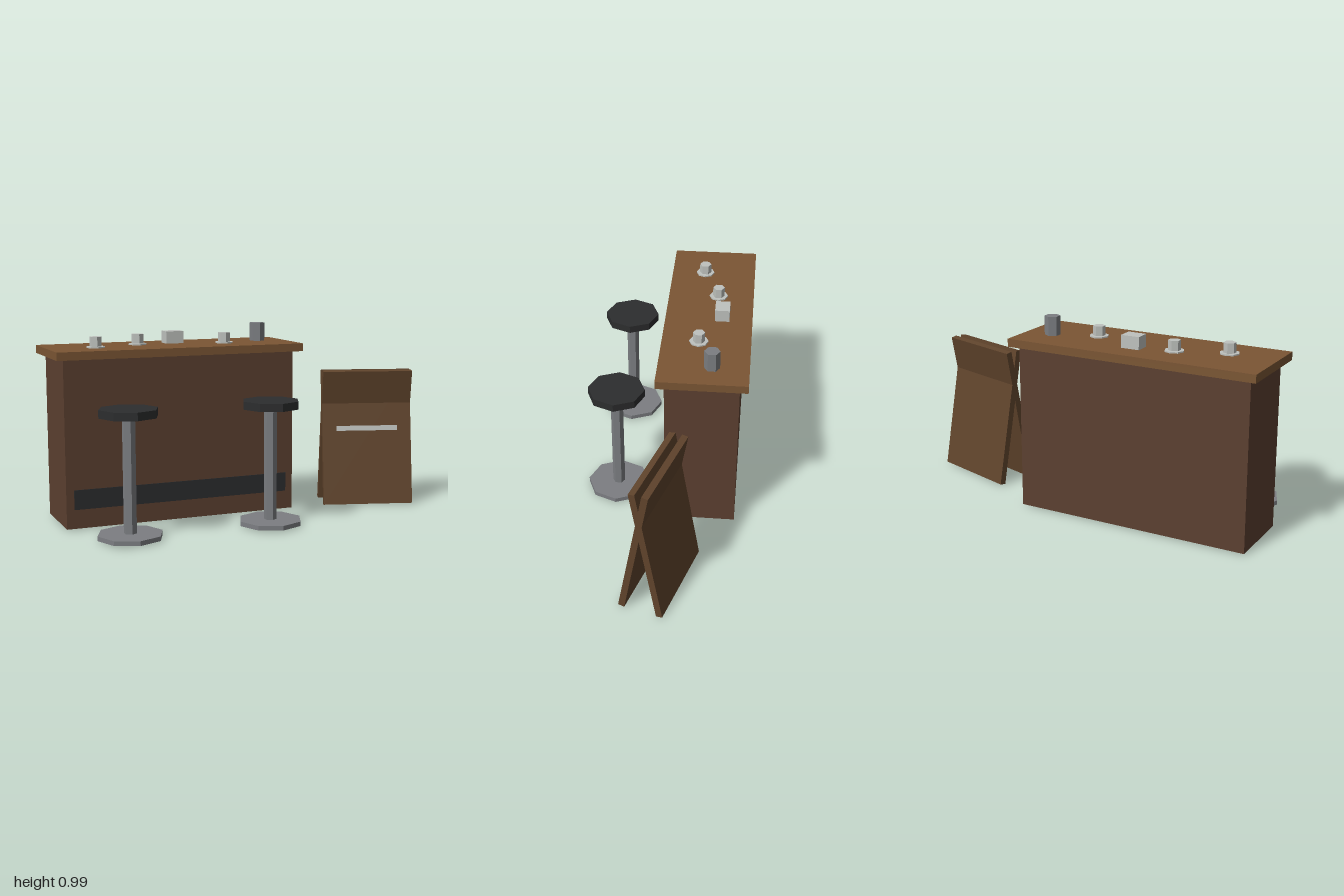
import * as THREE from 'three';

const mat = (name, color) => {
  const m = new THREE.MeshStandardMaterial({ color, flatShading: true });
  m.name = name;
  return m;
};

export function createModel() {
  const root = new THREE.Group();
  root.name = 'barCounterSet';
  const bodyWood = mat('dark wood', 0x5c4030);
  const topWood = mat('counter wood', 0x7b5634);
  const boardWood = mat('board wood', 0x60442c);
  const black = mat('black', 0x2c2d2e);
  const metal = mat('metal', 0x7c7e82);
  const white = mat('off white', 0xbfc2be);

  const add = (parent, name, geometry, material, x, y, z) => {
    const mesh = new THREE.Mesh(geometry, material);
    mesh.name = name;
    mesh.position.set(x, y, z);
    parent.add(mesh);
    return mesh;
  };
  // Box given by its min and max corners
  const box = (parent, name, material, x0, x1, y0, y1, z0, z1) =>
    add(parent, name, new THREE.BoxGeometry(x1 - x0, y1 - y0, z1 - z0), material,
      (x0 + x1) / 2, (y0 + y1) / 2, (z0 + z1) / 2);
  // Upright prism between two heights
  const prism = (parent, name, material, r, sides, y0, y1, x = 0, z = 0) =>
    add(parent, name, new THREE.CylinderGeometry(r, r, y1 - y0, sides), material, x, (y0 + y1) / 2, z);

  // Counter
  const counter = new THREE.Group();
  counter.name = 'counter';
  root.add(counter);
  box(counter, 'counterBody', bodyWood, -0.96, 0.275, 0.006, 0.855, -0.38, -0.01);
  box(counter, 'counterTop', topWood, -1, 0.315, 0.855, 0.896, -0.4225, 0.0315);
  box(counter, 'kickPlate', black, -0.92, 0.235, 0.103, 0.203, -0.011, -0.006);

  // Bar stools
  for (const x of [-0.714, 0.028]) {
    const stool = new THREE.Group();
    stool.name = 'stool';
    stool.position.set(x, 0, 0.2585);
    prism(stool, 'stoolBase', metal, 0.164, 8, 0.006, 0.029);
    prism(stool, 'stoolPole', metal, 0.0325, 6, 0.029, 0.6);
    prism(stool, 'stoolSeat', black, 0.148, 8, 0.599, 0.639);
    root.add(stool);
  }

  // Cups on saucers
  for (const [x, z] of [[-0.756, -0.149], [-0.509, -0.235], [-0.056, -0.158]]) {
    const cup = new THREE.Group();
    cup.name = 'cupAndSaucer';
    cup.position.set(x, 0, z);
    prism(cup, 'saucer', white, 0.049, 8, 0.896, 0.903);
    prism(cup, 'cup', white, 0.031, 6, 0.903, 0.952);
    root.add(cup);
  }

  // Napkin box and jar
  box(root, 'napkinBox', white, -0.354, -0.258, 0.896, 0.96, -0.303, -0.227);
  prism(root, 'jar', metal, 0.04, 6, 0.896, 0.993, 0.168, -0.237);

  // Sign made of two leaning boards that cross near the top
  const sign = new THREE.Group();
  sign.name = 'sandwichBoard';
  sign.position.set(0.731, 0.367, -0.03);
  sign.rotation.y = -0.3;
  root.add(sign);
  for (const side of [1, -1]) {
    const leaf = new THREE.Group();
    leaf.name = side > 0 ? 'frontLeaf' : 'backLeaf';
    leaf.position.z = side * 0.0333;
    leaf.rotation.x = -side * 0.18;
    add(leaf, 'board', new THREE.BoxGeometry(0.49, 0.739, 0.0325), boardWood, 0, 0, 0);
    if (side > 0) add(leaf, 'stripe', new THREE.BoxGeometry(0.336, 0.027, 0.006), white, 0, 0.046, 0.0175);
    sign.add(leaf);
  }
  return root;
}
